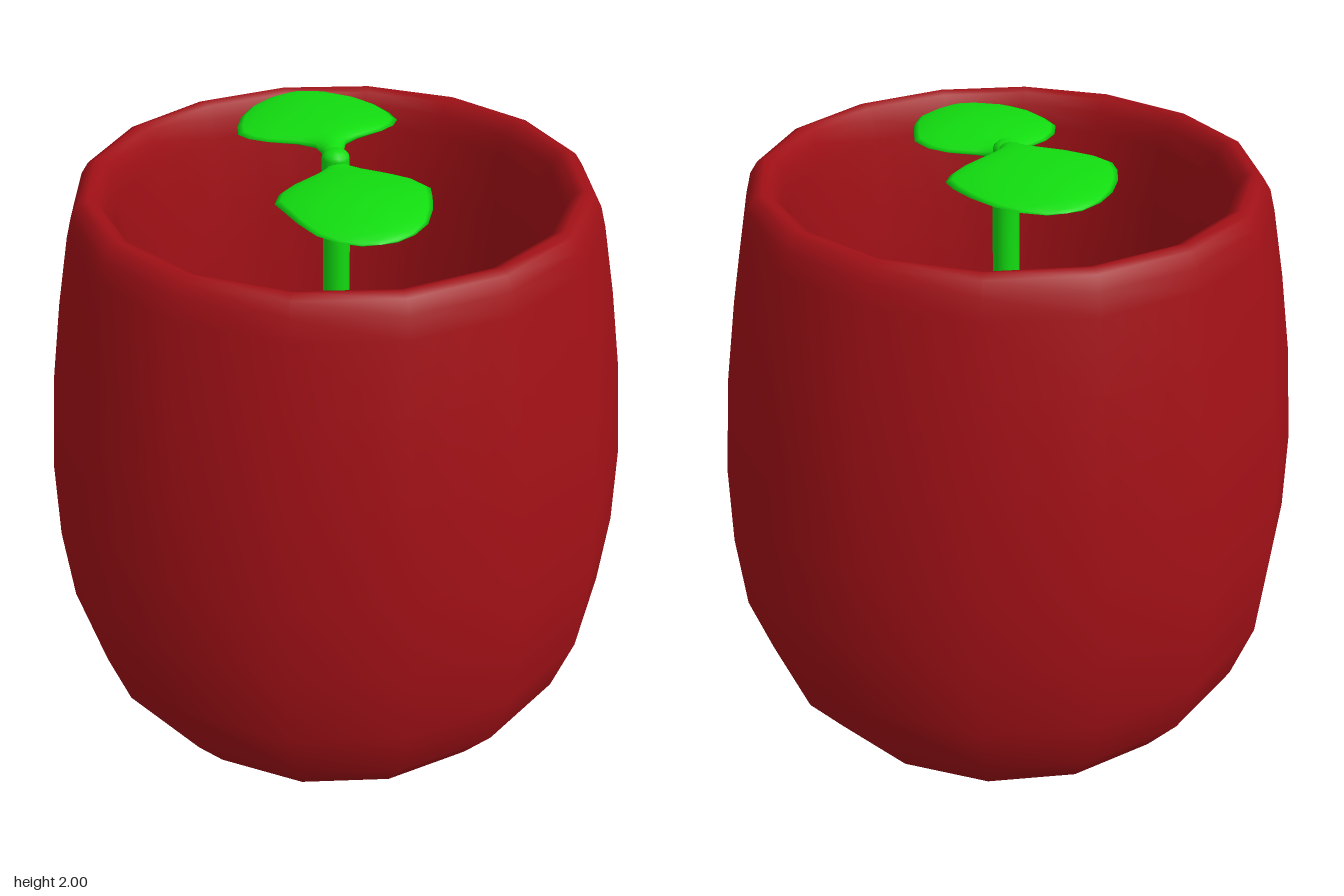
import * as THREE from 'three';

const mat = (color) => new THREE.MeshStandardMaterial({ color, side: THREE.DoubleSide });

// revolve [radius, height] pairs with the pot's sixteen sides
function lathe(name, points, material) {
  const mesh = new THREE.Mesh(
    new THREE.LatheGeometry(points.map(([r, y]) => new THREE.Vector2(r, y)), 16), material);
  mesh.name = name;
  return mesh;
}

// loft a thin drooping leaf along +z from [z, y, halfWidth, halfThickness] stations
function leaf(name, stations, material) {
  const SIDES = 16, pos = [], index = [];
  for (const [z, y, w, t] of stations) {
    for (let i = 0; i < SIDES; i++) {
      const a = (i / SIDES) * Math.PI * 2, c = Math.cos(a);
      pos.push(w * c, y + t * Math.sin(a) - 0.1 * w * c * c, z);
    }
  }
  for (let s = 0; s < stations.length - 1; s++) {
    for (let i = 0; i < SIDES; i++) {
      const a = s * SIDES + i, b = s * SIDES + (i + 1) % SIDES;
      index.push(a, b, b + SIDES, a, b + SIDES, a + SIDES);
    }
  }
  const geo = new THREE.BufferGeometry();
  geo.setAttribute('position', new THREE.Float32BufferAttribute(pos, 3));
  geo.setIndex(index);
  geo.computeVertexNormals();
  const mesh = new THREE.Mesh(geo, material);
  mesh.name = name;
  return mesh;
}

export function createModel() {
  const model = new THREE.Group();
  model.name = 'pottedSprout';
  const red = mat(0xa01016), brown = mat(0x6b3510), green = mat(0x12dc10);

  // rounded pot: outer wall, soft lip, inner wall down to below the soil
  model.add(lathe('pot', [
    [0, 0], [0.27, 0.025], [0.5, 0.085], [0.685, 0.195], [0.795, 0.35],
    [0.858, 0.55], [0.877, 0.8], [0.872, 1.05], [0.84, 1.35], [0.797, 1.6],
    [0.755, 1.8], [0.738, 1.86], [0.715, 1.895], [0.69, 1.905], [0.665, 1.895],
    [0.645, 1.86], [0.63, 1.8], [0.605, 1.6], [0.595, 1.35], [0.59, 1.1],
  ], red));

  // low mound of soil
  model.add(lathe('soil', [
    [0.6, 1.1], [0.58, 1.17], [0.5, 1.22], [0.35, 1.26], [0.18, 1.28], [0, 1.285],
  ], brown));

  // stem with a rounded tip
  const sprout = new THREE.Group();
  sprout.name = 'sprout';
  const path = new THREE.CatmullRomCurve3([
    [0, 1.2, 0], [0, 1.5, 0.005], [0, 1.8, 0.01], [0, 1.955, 0],
  ].map((p) => new THREE.Vector3(...p)));
  const stem = new THREE.Mesh(new THREE.TubeGeometry(path, 12, 0.04, 12), green);
  stem.name = 'stem';
  const tip = new THREE.Mesh(new THREE.SphereGeometry(0.04, 12, 8), green);
  tip.name = 'stemTip';
  tip.scale.y = 0.7;
  tip.position.y = 1.955;

  // lower front leaf
  const frontLeaf = leaf('frontLeaf', [
    [0, 1.94, 0.02, 0.015], [0.035, 1.935, 0.04, 0.018], [0.06, 1.937, 0.08, 0.016],
    [0.1, 1.942, 0.15, 0.015], [0.14, 1.947, 0.19, 0.015], [0.2, 1.952, 0.215, 0.014],
    [0.26, 1.954, 0.202, 0.013], [0.33, 1.95, 0.182, 0.012], [0.4, 1.941, 0.148, 0.011],
    [0.445, 1.932, 0.1, 0.009], [0.47, 1.926, 0.05, 0.007], [0.48, 1.923, 0, 0],
  ], green);

  // higher, larger back leaf, lofted forward and turned around
  const backLeaf = leaf('backLeaf', [
    [-0.02, 1.955, 0.02, 0.015], [0.03, 1.967, 0.032, 0.02], [0.06, 1.975, 0.045, 0.018],
    [0.09, 1.98, 0.09, 0.016], [0.13, 1.984, 0.17, 0.015], [0.165, 1.986, 0.212, 0.014],
    [0.205, 1.987, 0.235, 0.013], [0.26, 1.987, 0.228, 0.013], [0.33, 1.985, 0.203, 0.012],
    [0.4, 1.979, 0.16, 0.011], [0.45, 1.972, 0.108, 0.009], [0.48, 1.965, 0.05, 0.006],
    [0.49, 1.962, 0, 0],
  ], green);
  backLeaf.rotation.y = Math.PI;

  sprout.add(stem, tip, frontLeaf, backLeaf);
  model.add(sprout);
  return model;
}
